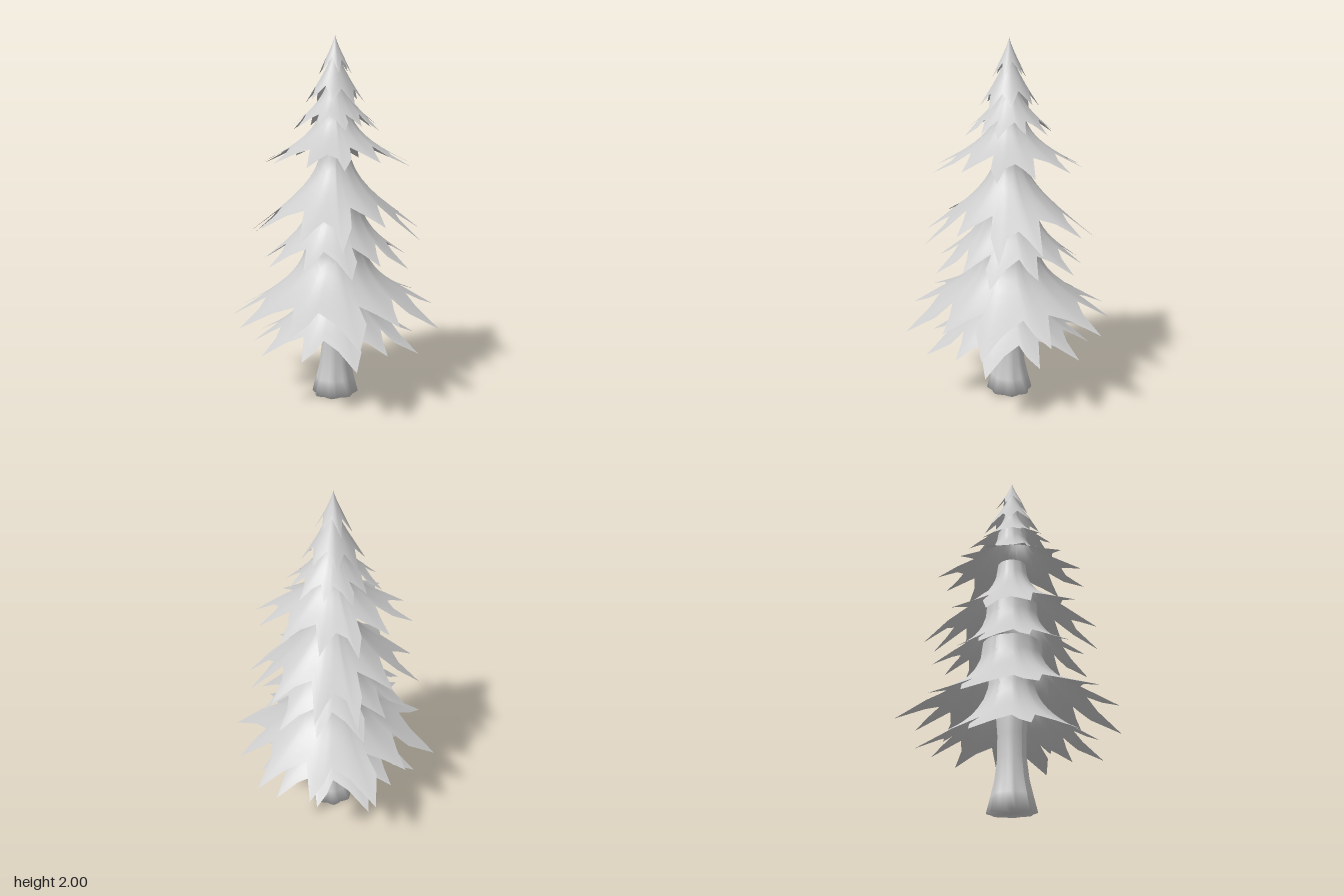
import * as THREE from 'three';

const needles = new THREE.MeshStandardMaterial({ color: 0xcccccc, side: THREE.DoubleSide });
const bark = new THREE.MeshStandardMaterial({ color: 0xcccccc });

// Ragged hems of the bough tiers, one quarter from front (+z) to left (+x), as [x, z]
const broadHem = mirrored([
  [0, 0.63], [0.06, 0.47], [0.13, 0.38], [0.27, 0.51], [0.27, 0.4], [0.25, 0.31],
  [0.36, 0.28], [0.54, 0.28], [0.44, 0.15], [0.32, 0.13], [0.42, 0.06], [0.53, 0],
]);
const middleHem = mirrored([
  [0, 0.63], [0.06, 0.46], [0.13, 0.37], [0.3, 0.54], [0.28, 0.4], [0.28, 0.32],
  [0.36, 0.29], [0.51, 0.35], [0.42, 0.2], [0.31, 0.12], [0.41, 0.06], [0.53, 0],
]);

// Mirror a quarter into a closed outline
function mirrored(quarter) {
  const half = [...quarter, ...quarter.slice(0, -1).reverse().map(([x, z]) => [x, -z])];
  return [...half, ...half.slice(1, -1).reverse().map(([x, z]) => [-x, z])];
}

// Regular star outline for the small upper tiers
function starHem(points, valley, turn = 0) {
  return Array.from({ length: points * 2 }, (_, i) => {
    const a = (i / points) * Math.PI + turn;
    const r = i % 2 ? 0.63 * valley : 0.63;
    return [Math.sin(a) * r, Math.cos(a) * r];
  });
}

// A flared skirt falling from a narrow rim to the tips of its hem;
// sag lowers the diagonal tips
function tier({ name, hem, rim, top, sx, sz, tip, sag = 0, power = 0.42 }) {
  const rings = 8, n = hem.length, pos = [], index = [];
  for (let k = 0; k <= rings; k++) {
    const t = (k / rings) ** 1.7;
    for (const [ox, oz] of hem) {
      const x = ox * sx, z = oz * sz, edge = Math.hypot(x, z);
      const sin = x / edge, cos = z / edge;
      const r = rim + (edge - rim) * t;
      const reach = 0.63 * sz * cos * cos + 0.55 * sx * sin * sin;
      const s = (r - rim) / (reach - rim);
      const y = top - (top - tip) * s ** power - sag * s * s * (2 * sin * cos) ** 2;
      pos.push(sin * r, y, cos * r);
    }
  }
  for (let k = 0; k < rings; k++) {
    for (let i = 0; i < n; i++) {
      const a = k * n + i, b = k * n + (i + 1) % n;
      index.push(a, a + n, b + n, a, b + n, b);
    }
  }
  const geo = new THREE.BufferGeometry();
  geo.setAttribute('position', new THREE.Float32BufferAttribute(pos, 3));
  geo.setIndex(index);
  geo.computeVertexNormals();
  const mesh = new THREE.Mesh(geo, needles);
  mesh.name = name;
  return mesh;
}

// Fluted trunk with spreading roots
function trunk() {
  const profile = [[0, 0], [0.125, 0], [0.105, 0.09], [0.088, 0.17], [0.077, 0.28],
    [0.077, 0.4], [0.085, 0.5], [0.08, 0.7], [0, 0.75]];
  const geo = new THREE.LatheGeometry(profile.map(([r, y]) => new THREE.Vector2(r, y)), 32);
  const p = geo.attributes.position;
  for (let i = 0; i < p.count; i++) {
    const x = p.getX(i), y = p.getY(i), z = p.getZ(i);
    const flute = 1 + 0.07 * Math.cos(8 * Math.atan2(x, z)) * Math.max(0.2, 1 - y / 0.35);
    p.setXYZ(i, x * flute * 0.94, y, z * flute * 1.02);
  }
  geo.computeVertexNormals();
  const mesh = new THREE.Mesh(geo, bark);
  mesh.name = 'trunk';
  return mesh;
}

export function createModel() {
  const tree = new THREE.Group();
  tree.name = 'firTree';
  tree.add(trunk());
  [
    { name: 'lowestBoughs', hem: broadHem, rim: 0.12, top: 0.75, sx: 0.83, sz: 0.79, tip: 0.32, sag: 0.01, power: 0.4 },
    { name: 'widestBoughs', hem: broadHem, rim: 0.16, top: 0.91, sx: 1, sz: 1, tip: 0.5, sag: 0.045 },
    { name: 'lowerMiddleBoughs', hem: broadHem, rim: 0.14, top: 1.15, sx: 0.71, sz: 0.71, tip: 0.79, sag: 0.02 },
    { name: 'middleBoughs', hem: middleHem, rim: 0.08, top: 1.41, sx: 0.78, sz: 0.78, tip: 1, sag: 0.075, power: 0.46 },
    { name: 'upperMiddleBoughs', hem: middleHem, rim: 0.08, top: 1.63, sx: 0.7, sz: 0.65, tip: 1.33, sag: 0.01, power: 0.46 },
    { name: 'upperBoughs', hem: broadHem, rim: 0.04, top: 1.78, sx: 0.42, sz: 0.41, tip: 1.51, power: 0.55 },
    { name: 'crownBoughs', hem: starHem(8, 0.68), rim: 0.015, top: 1.91, sx: 0.26, sz: 0.25, tip: 1.66, power: 0.8 },
    { name: 'treeTop', hem: starHem(6, 0.55), rim: 0, top: 2, sx: 0.16, sz: 0.14, tip: 1.81, power: 0.8 },
  ].forEach((spec) => tree.add(tier(spec)));
  return tree;
}
